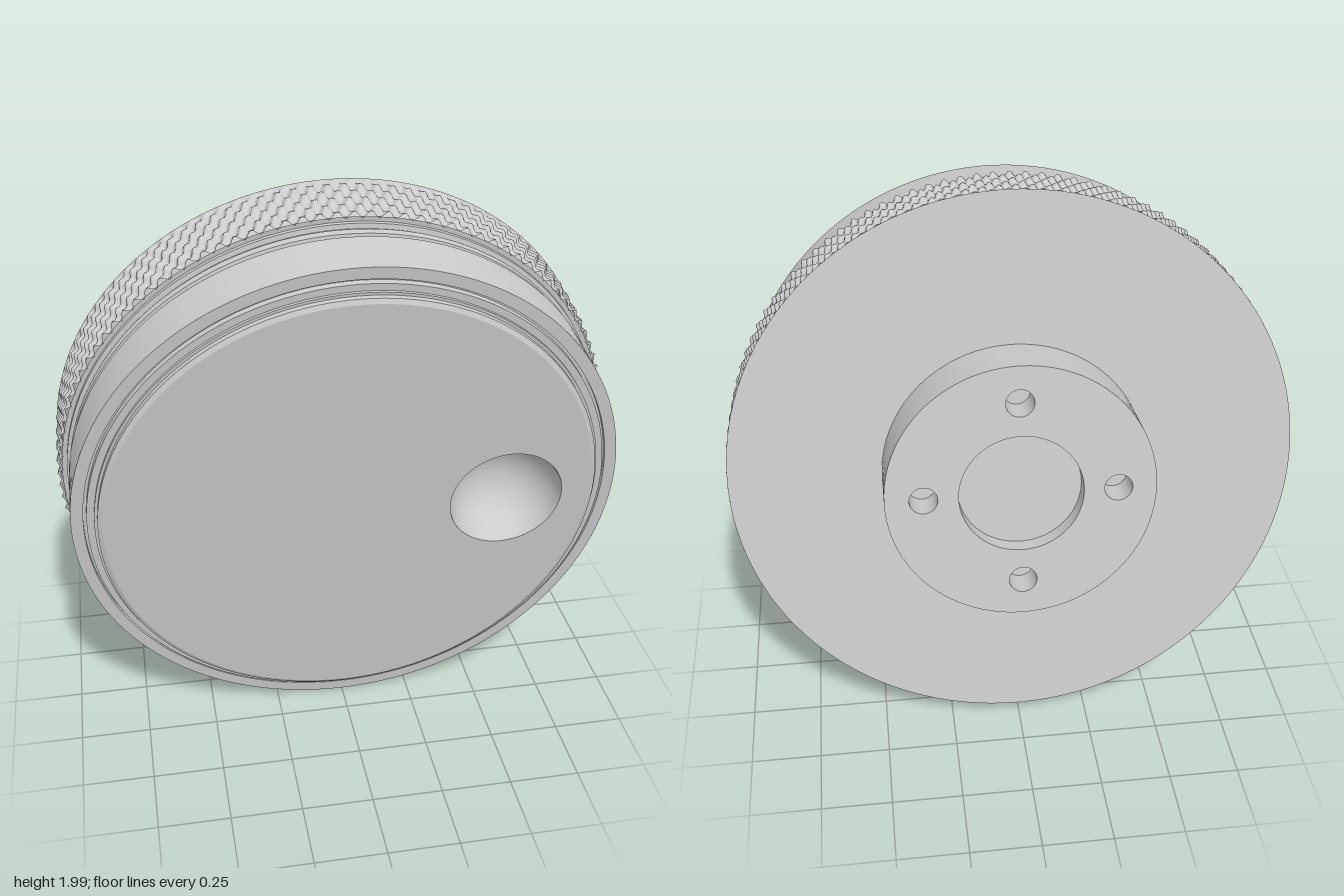
import * as THREE from 'three';
import { toCreasedNormals } from 'three/addons/utils/BufferGeometryUtils.js';

const material = new THREE.MeshStandardMaterial({ color: 0xcccccc });

function part(name, geometry, parent, crease = 0.5) {
  const mesh = new THREE.Mesh(crease ? toCreasedNormals(geometry, crease) : geometry, material);
  mesh.name = name;
  parent.add(mesh);
  return mesh;
}

// Lathe with its axis turned from y to z; points are [radius, z]
function turned(points, segments) {
  const profile = points.map(([r, z]) => new THREE.Vector2(r, z));
  return new THREE.LatheGeometry(profile, segments).rotateX(Math.PI / 2);
}

function circle(Type, x, y, r) {
  const path = new Type();
  path.absarc(x, y, r, 0, Math.PI * 2, false);
  return path;
}

// Band of raised diamonds between two z positions
function knurledBand(zBack, zFront) {
  const count = 112, around = count * 8, along = 22;
  const g = new THREE.CylinderGeometry(1, 1, zFront - zBack, around, along, true);
  g.rotateX(Math.PI / 2).translate(0, 0, (zBack + zFront) / 2);
  const p = g.attributes.position;
  for (let i = 0; i < p.count; i++) {
    const angle = Math.atan2(p.getY(i), p.getX(i));
    const z = p.getZ(i);
    const axial = ((z - zBack) / 0.092) * Math.PI * 2;
    let h = (Math.cos(count * angle + axial) + Math.cos(count * angle - axial)) / 2;
    if (z < zBack + 0.005) h = 0.6; // clean rear edge
    const r = 0.979 + 0.012 * h;
    p.setXY(i, r * Math.cos(angle), r * Math.sin(angle));
  }
  g.computeVertexNormals();
  return g;
}

export function createModel() {
  const group = new THREE.Group();
  const knob = new THREE.Group();
  knob.name = 'knob';
  group.add(knob);

  // Turned body: back plate, neck grooves, smooth band and stepped front rim
  part('body', turned([
    [0, -0.2], [0.986, -0.2], [0.965, -0.195], [0.962, 0.028], [0.955, 0.028],
    [0.955, 0.042], [0.938, 0.046], [0.938, 0.055], [0.945, 0.06], [0.945, 0.088],
    [0.93, 0.092], [0.93, 0.116], [0.95, 0.116], [0.95, 0.3], [0.908, 0.3],
    [0.908, 0.285], [0.897, 0.285], [0.897, 0.308], [0.872, 0.308], [0.872, 0.318],
    [0.862, 0.318], [0.862, 0.336], [0.846, 0.344],
  ], 160), knob);

  part('knurledGrip', knurledBand(-0.2, 0.03), knob, 0);
  part('gripFrontEdge', new THREE.RingGeometry(0.95, 0.972, 160), knob, 0).position.z = 0.029;

  // Front face with a round finger dimple
  const dimpleX = 0.545, dimpleR = 0.2, depth = 0.18, faceZ = 0.344;
  const face = circle(THREE.Shape, 0, 0, 0.846);
  face.holes.push(circle(THREE.Path, dimpleX, 0, dimpleR));
  part('frontFace', new THREE.ShapeGeometry(face, 80), knob, 0).position.z = faceZ;

  const sphereR = (dimpleR ** 2 + depth ** 2) / (2 * depth);
  const sweep = Math.asin(Math.min(1, dimpleR / sphereR));
  const bowl = [];
  for (let i = 0; i <= 20; i++) {
    const a = sweep * (1 - i / 20);
    bowl.push([sphereR * Math.sin(a), sphereR - depth - sphereR * Math.cos(a)]);
  }
  part('fingerDimple', turned(bowl, 80), knob, 0.6).position.set(dimpleX, 0, faceZ);

  // Rear hub with a shallow central bore and four screw holes
  const openings = [['bore', 0, 0, 0.212, 0.06]];
  for (let i = 0; i < 4; i++) {
    const a = (i * Math.PI) / 2;
    openings.push(['screwHole', 0.33 * Math.cos(a), 0.33 * Math.sin(a), 0.048, 0.11]);
  }
  const hub = circle(THREE.Shape, 0, 0, 0.461);
  for (const [name, x, y, r, deep] of openings) {
    hub.holes.push(circle(THREE.Path, x, y, r));
    const floor = new THREE.CircleGeometry(r, 48).rotateY(Math.PI);
    part(name + 'Floor', floor, knob, 0).position.set(x, y, -0.4 + deep);
  }
  part('hub', new THREE.ExtrudeGeometry(hub, { depth: 0.2, bevelEnabled: false, curveSegments: 48 }), knob)
    .position.z = -0.4;

  // The whole knob leans with its front slightly down
  knob.rotation.x = THREE.MathUtils.degToRad(9.35);
  knob.position.set(0, 0.988, -0.004);
  return group;
}
